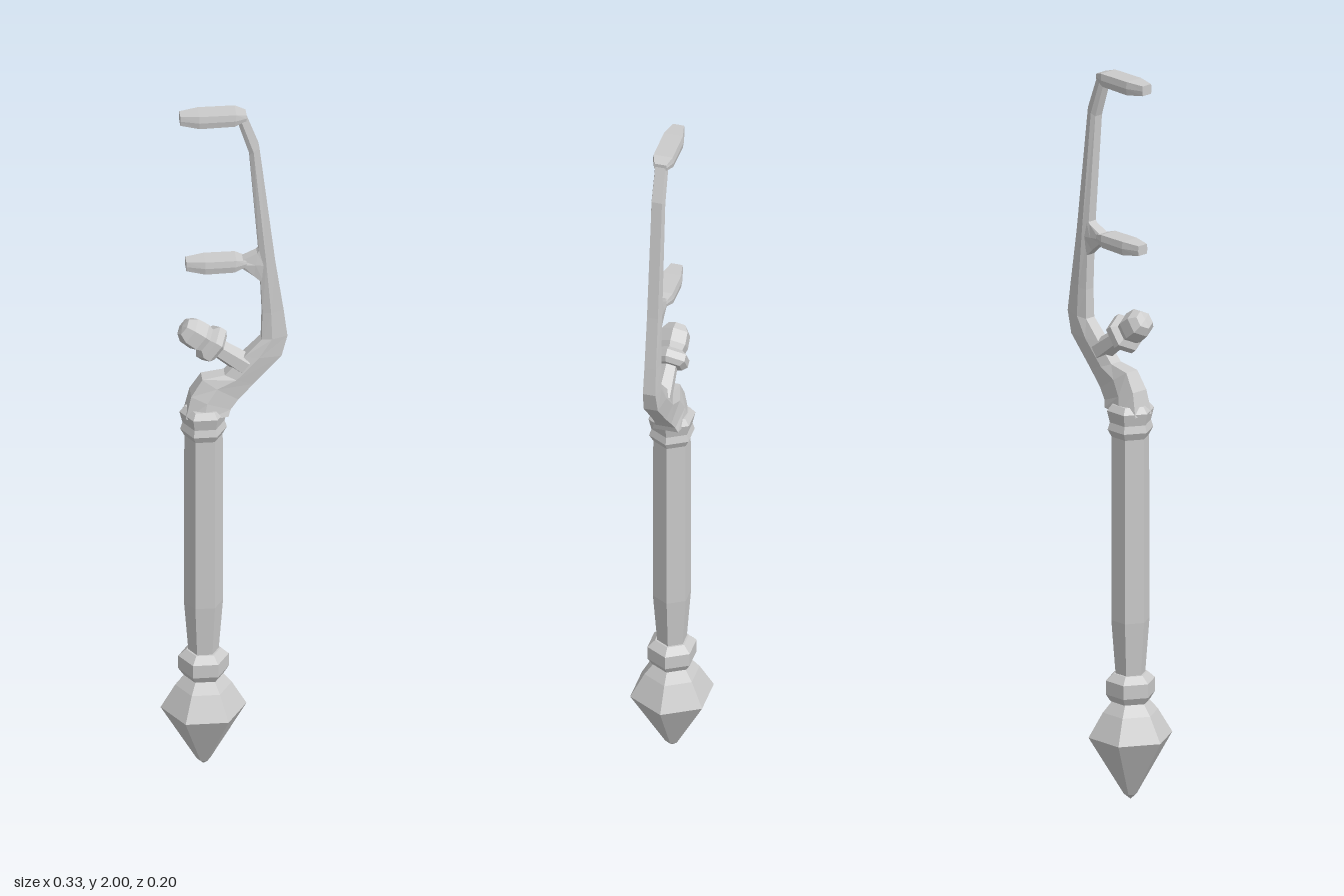
import * as THREE from 'three';

const AXIS = -0.055; // x of the handle's centre line

const material = () => new THREE.MeshStandardMaterial({ color: 0xcccccc, flatShading: true, side: THREE.DoubleSide });

function mesh(name, geometry) {
  const m = new THREE.Mesh(geometry, material());
  m.name = name;
  return m;
}

// Six-sided turned part, profile given as [radius, height] from bottom to top
function turned(name, profile, phi = Math.PI / 6) {
  const points = profile.map(([r, y]) => new THREE.Vector2(r, y));
  return mesh(name, new THREE.LatheGeometry(points, 6, phi));
}

// Loft through stations [ax, ay, bx, by, halfDepth]; section lists [share from a to b, share of depth]
function loft(name, stations, section) {
  const n = section.length;
  const loop = [...section, ...section.slice().reverse().map(([u, w]) => [u, -w])];
  const k = n * 2;
  const position = [];
  const index = [];
  for (const [ax, ay, bx, by, depth] of stations) {
    for (const [u, w] of loop) position.push(ax + (bx - ax) * u, ay + (by - ay) * u, w * depth);
  }
  const last = (stations.length - 1) * k;
  for (let i = 0; i < stations.length - 1; i++) {
    for (let j = 0; j < k; j++) {
      const a = i * k + j, b = i * k + (j + 1) % k;
      index.push(a, b, b + k, a, b + k, a + k);
    }
  }
  for (let j = 1; j < k - 1; j++) {
    index.push(0, j + 1, j, last, last + j, last + j + 1);
  }
  const g = new THREE.BufferGeometry();
  g.setAttribute('position', new THREE.Float32BufferAttribute(position, 3));
  g.setIndex(index);
  g.computeVertexNormals();
  return mesh(name, g);
}

// Flat tooth with a blunt tip, running from the arm towards -x
function tooth(name, tipX, top) {
  const bottom = top - 0.037;
  return loft(name, [
    [0.058, bottom + 0.012, 0.058, top - 0.008, 0.018],
    [0.025, bottom + 0.002, 0.03, top, 0.029],
    [tipX + 0.05, bottom, tipX + 0.05, top, 0.029],
    [tipX, bottom + 0.007, tipX, top - 0.003, 0.017],
  ], [[0, 0.9], [0.5, 1], [1, 0.9]]);
}

export function createModel() {
  const group = new THREE.Group();

  // Handle with its pommel and rings
  const shaft = new THREE.Group();
  shaft.name = 'shaft';
  shaft.position.x = AXIS;
  shaft.add(
    turned('pommel', [[0, 0], [0.018, 0.015], [0.114, 0.178], [0.075, 0.245], [0.05, 0.275], [0, 0.28]]),
    turned('lowerRing', [[0, 0.272], [0.054, 0.275], [0.067, 0.295], [0.067, 0.333], [0.046, 0.352], [0, 0.352]]),
    turned('grip', [[0.04, 0.345], [0.052, 0.5], [0.051, 1.01]]),
    turned('collar', [[0, 1.005], [0.05, 1.008], [0.062, 1.03], [0.056, 1.05], [0.064, 1.083], [0.05, 1.1], [0, 1.1]]),
  );
  group.add(shaft);

  // Curved arm that leans out and rises to the top tooth
  group.add(loft('arm', [
    [-0.105, 1.075, 0.008, 1.08, 0.046],
    [-0.09, 1.14, 0.014, 1.098, 0.038],
    [-0.06, 1.188, 0.035, 1.125, 0.031],
    [0.0, 1.198, 0.075, 1.168, 0.027],
    [0.05, 1.25, 0.15, 1.25, 0.026],
    [0.098, 1.3, 0.166, 1.31, 0.023],
    [0.1, 1.38, 0.156, 1.39, 0.021],
    [0.093, 1.54, 0.134, 1.54, 0.02],
    [0.066, 1.87, 0.092, 1.89, 0.019],
    [0.035, 1.968, 0.054, 1.993, 0.018],
  ], [[0, 0.65], [0.4, 1], [1, 0.75]]));

  // Strut and teeth
  group.add(loft('middleStrut', [
    [0.108, 1.465, 0.105, 1.59, 0.017],
    [0.078, 1.495, 0.086, 1.565, 0.017],
    [0.045, 1.522, 0.045, 1.545, 0.018],
  ], [[0, 0.8], [0.5, 1], [1, 0.8]]));
  group.add(tooth('middleTooth', -0.102, 1.552), tooth('topTooth', -0.118, 2));

  // Angled knob: stem, flange and tapered head
  const knob = new THREE.Group();
  knob.name = 'knob';
  knob.position.set(0.055, 1.22, 0);
  knob.rotation.z = Math.atan2(0.8, 0.6);
  knob.add(
    turned('knobStem', [[0.032, 0], [0.026, 0.1]]),
    turned('knobFlange', [[0, 0.088], [0.04, 0.09], [0.054, 0.102], [0.054, 0.122], [0.036, 0.135], [0, 0.135]]),
    turned('knobHead', [[0.036, 0.13], [0.043, 0.15], [0.041, 0.185], [0.026, 0.205], [0, 0.208]]),
  );
  group.add(knob);

  return group;
}
